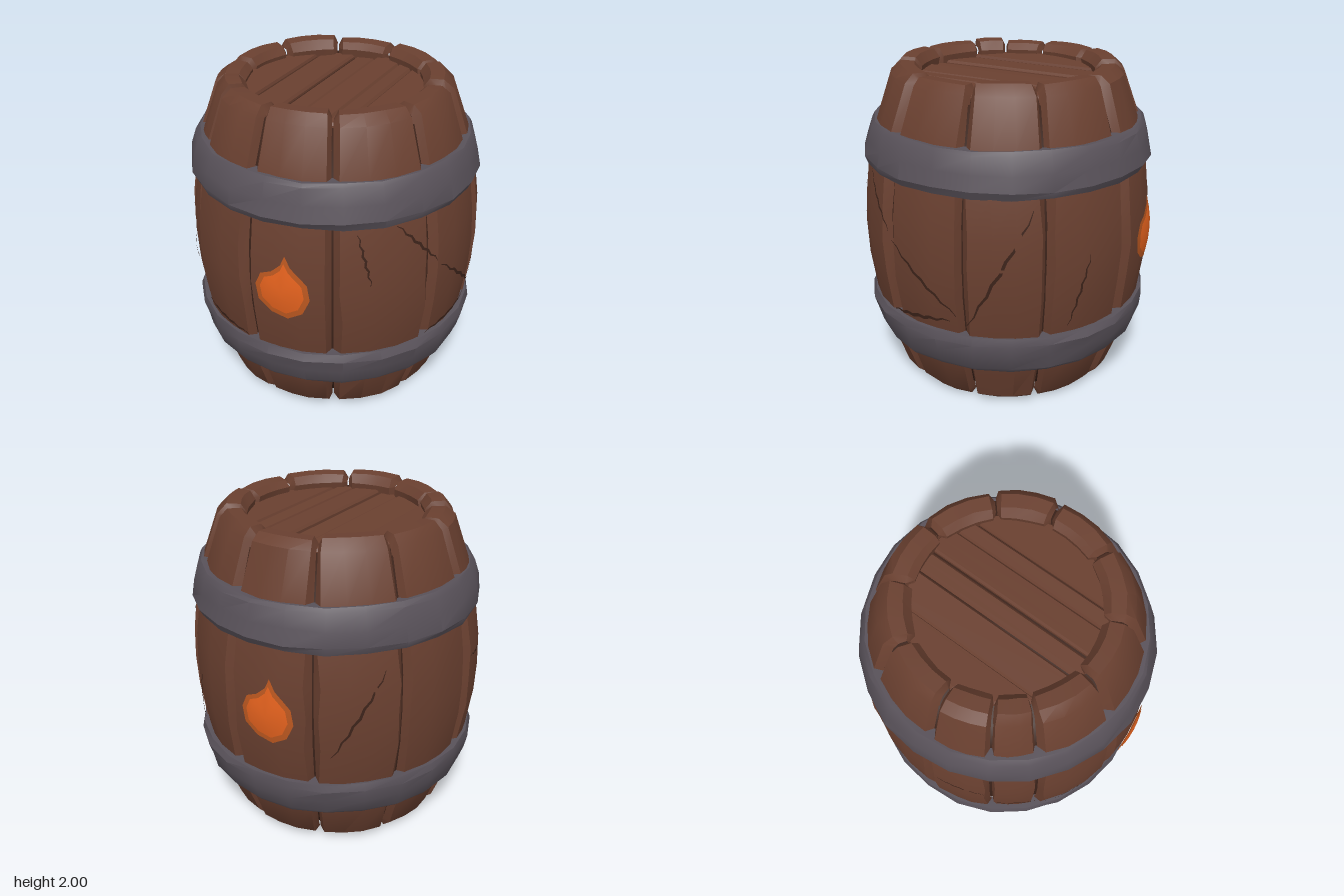
import * as THREE from 'three';
import { toCreasedNormals } from 'three/addons/utils/BufferGeometryUtils.js';

const mat = (name, color, side = THREE.FrontSide) => {
  const m = new THREE.MeshStandardMaterial({ color, side });
  m.name = name;
  return m;
};

// Barrel bulge: outer radius at a height
const radiusAt = (y) => 0.905 - 0.22 * (y - 1) ** 2;
const polar = (deg, r, y) => {
  const a = THREE.MathUtils.degToRad(deg);
  return [r * Math.sin(a), y, r * Math.cos(a)];
};

function seeded(seed) {
  return () => {
    seed = (seed * 16807) % 2147483647;
    return seed / 2147483647;
  };
}

// Surface from rows of equal point counts
function gridGeometry(rows, crease = 0.55) {
  const n = rows[0].length, index = [];
  for (let i = 0; i < rows.length - 1; i++) {
    for (let j = 0; j < n - 1; j++) {
      const a = i * n + j, b = a + 1, c = a + n, d = c + 1;
      index.push(a, b, d, a, d, c);
    }
  }
  const g = new THREE.BufferGeometry();
  g.setAttribute('position', new THREE.Float32BufferAttribute(rows.flat(2), 3));
  g.setIndex(index);
  return toCreasedNormals(g, crease);
}

// One stave: profile swept between two angles, with rounded-off long edges
function staveGeometry(a0, a1, offset, topDrop, rand) {
  const heights = [0.05, 0.3, 0.55, 0.8, 1, 1.2, 1.41, 1.67, 1.94];
  const profile = [[0.55, 0.17], [0.53, 0.06], [0.57, 0.005], [0.65, 0]];
  heights.forEach((y) => profile.push([radiusAt(y) + offset, y]));
  profile.push([0.655, 2 - topDrop], [0.57, 1.995 - topDrop], [0.53, 1.94], [0.55, 1.83]);
  const columns = [[0, 0.05], [0.07, 0.004], [0.36, 0], [0.64, 0], [0.93, 0.004], [1, 0.05]];
  const rows = profile.map(([r, y], i) => {
    const p = profile[Math.max(i - 1, 0)], q = profile[Math.min(i + 1, profile.length - 1)];
    const len = Math.hypot(q[0] - p[0], q[1] - p[1]);
    const nr = (q[1] - p[1]) / len, ny = -(q[0] - p[0]) / len;
    const wobble = (rand() - 0.5) * 1.4;
    return columns.map(([f, inset]) => polar(
      a0 + (a1 - a0) * f + (f > 0 && f < 1 ? wobble : 0),
      r - nr * inset - (rand() * 0.006), Math.min(Math.max(y - ny * inset, 0), 2)));
  });
  return gridGeometry(rows);
}

// Lid plank clipped to a circle, lying flat
function plankGeometry(x0, x1, R) {
  const s = new THREE.Shape(), steps = 6;
  const edge = (x) => Math.sqrt(Math.max(R * R - x * x, 0));
  for (let i = 0; i <= steps; i++) {
    const x = x0 + ((x1 - x0) * i) / steps;
    i ? s.lineTo(x, -edge(x)) : s.moveTo(x, -edge(x));
  }
  for (let i = steps; i >= 0; i--) {
    const x = x0 + ((x1 - x0) * i) / steps;
    s.lineTo(x, edge(x));
  }
  const g = new THREE.ExtrudeGeometry(s, {
    depth: 0.04, bevelEnabled: true, bevelSize: 0.012, bevelThickness: 0.015, bevelOffset: -0.016, bevelSegments: 1,
  });
  return g.rotateX(-Math.PI / 2);
}

// Flame plate wrapped on the barrel; dome lifts its middle
function flameGeometry(deg, scale, lift, dome) {
  const outline = [[0.03, -0.2], [0.12, -0.15], [0.165, -0.05], [0.15, 0.05], [0.095, 0.11], [0.055, 0.15], [0.02, 0.22],
    [-0.005, 0.16], [-0.06, 0.11], [-0.13, 0.08], [-0.165, 0], [-0.15, -0.1], [-0.07, -0.17], [0.03, -0.2]];
  const rows = [1, 0.75, 0.4, 0].map((k) => outline.map(([x, y]) => {
    const h = 1.01 + y * k * scale - 0.02 * (1 - k);
    return polar(deg + THREE.MathUtils.radToDeg((x * k * scale) / 0.9), radiusAt(h) + lift + dome * (1 - k * k), h);
  }));
  return gridGeometry(rows);
}

// Thin tapered crack following the barrel surface
function crackGeometry([a0, y0, a1, y1, width]) {
  const rows = [[], []], steps = 10;
  const da = (a1 - a0) * 0.0157, dy = y1 - y0, len = Math.hypot(da, dy);
  for (let i = 0; i <= steps; i++) {
    const t = i / steps, w = width * (0.25 + Math.sin(Math.PI * t)) * 0.5;
    const jag = i % 2 ? 0.008 : -0.004;
    [-1, 1].forEach((side, k) => {
      const s = side * w + jag;
      const y = y0 + dy * t + (da / len) * s;
      rows[k].push(polar(a0 + (a1 - a0) * t - (dy / len) * s * 63, radiusAt(y) + 0.003, y));
    });
  }
  return gridGeometry(rows);
}

export function createModel() {
  const barrel = new THREE.Group();
  barrel.name = 'barrel';
  const wood = mat('wood', 0x6a4030);
  const gap = mat('dark wood', 0x3c231a, THREE.DoubleSide);
  const iron = mat('iron', 0x59525a);
  const glow = mat('deep orange', 0xbd5820, THREE.DoubleSide);
  const fire = mat('orange', 0xe5621e, THREE.DoubleSide);
  const rand = seeded(77);
  const add = (name, geometry, material, parent = barrel) => {
    const m = new THREE.Mesh(geometry, material);
    m.name = name;
    parent.add(m);
    return m;
  };

  // Staves of uneven width
  const staves = new THREE.Group();
  staves.name = 'staves';
  barrel.add(staves);
  const joints = [-8, 26, 66, 101, 133, 170, 205, 240, 275, 300, 319, 352];
  const offsets = [0, 0.005, -0.006, 0.008, -0.008, 0, 0.006, -0.005, 0.007, -0.008, 0.004];
  offsets.forEach((offset, i) => {
    add('stave', staveGeometry(joints[i] + 0.4, joints[i + 1] - 0.4, offset, (i % 3) * 0.008, rand), wood, staves);
  });

  // Dark core seen in the joints
  const core = [new THREE.Vector2(0, 0.12), new THREE.Vector2(0.56, 0.12)];
  for (let i = 0; i <= 8; i++) {
    const y = 0.12 + 0.22 * i;
    core.push(new THREE.Vector2(radiusAt(y) - 0.055, y));
  }
  core.push(new THREE.Vector2(0, 1.88));
  add('core', new THREE.LatheGeometry(core, 33), gap);

  // Planked lid and base
  const cuts = [-0.57, -0.34, -0.12, 0.02, 0.2, 0.31, 0.57];
  for (let i = 0; i < cuts.length - 1; i++) {
    const geo = plankGeometry(cuts[i], cuts[i + 1], 0.58);
    const lid = add('lidPlank', geo, wood);
    lid.position.y = 1.84 + (i % 2) * 0.018;
    lid.rotation.z = (rand() - 0.5) * 0.1;
    const base = add('basePlank', geo, wood);
    base.rotation.x = Math.PI;
    base.position.y = 0.16 - (i % 2) * 0.018;
  }

  // Iron hoops, lightly hammered
  const hoops = {
    upperHoop: [[0.8, 1.42], [0.875, 1.41], [0.895, 1.455], [0.875, 1.55], [0.845, 1.645], [0.825, 1.67], [0.75, 1.665]],
    lowerHoop: [[0.75, 0.305], [0.825, 0.3], [0.848, 0.33], [0.875, 0.42], [0.895, 0.505], [0.88, 0.55], [0.8, 0.545]],
  };
  for (const [name, points] of Object.entries(hoops)) {
    const rows = points.map(([r, y]) => {
      const ring = [];
      for (let j = 0; j < 24; j++) ring.push(polar(j * 15, r + (rand() - 0.5) * 0.012, y + (rand() - 0.5) * 0.01));
      return [...ring, ring[0]];
    });
    add(name, gridGeometry(rows, 0.6), iron);
  }

  // Flame emblems, front and back
  for (const [side, deg] of [['front', 7.5], ['back', 188]]) {
    add(side + 'FlameEdge', flameGeometry(deg, 1, 0.004, 0.004), glow);
    add(side + 'Flame', flameGeometry(deg, 0.8, 0.009, 0.009), fire);
  }

  // Cracks in the wood: start angle, start height, end angle, end height, width
  const cracks = [[50, 1.4, 68, 1.1, 0.014], [70, 1.06, 99, 0.68, 0.016], [128, 1.35, 103, 0.62, 0.016],
    [302, 0.9, 318, 0.89, 0.018], [-38, 0.62, -10, 0.57, 0.02], [66, 0.57, 96, 0.64, 0.02],
    [232, 1.3, 212, 0.75, 0.014], [278, 1.15, 298, 1.1, 0.014], [150, 1.05, 142, 0.6, 0.012], [35, 1.38, 40, 1.05, 0.012]];
  cracks.forEach((c) => add('crack', crackGeometry(c), gap));

  return barrel;
}
